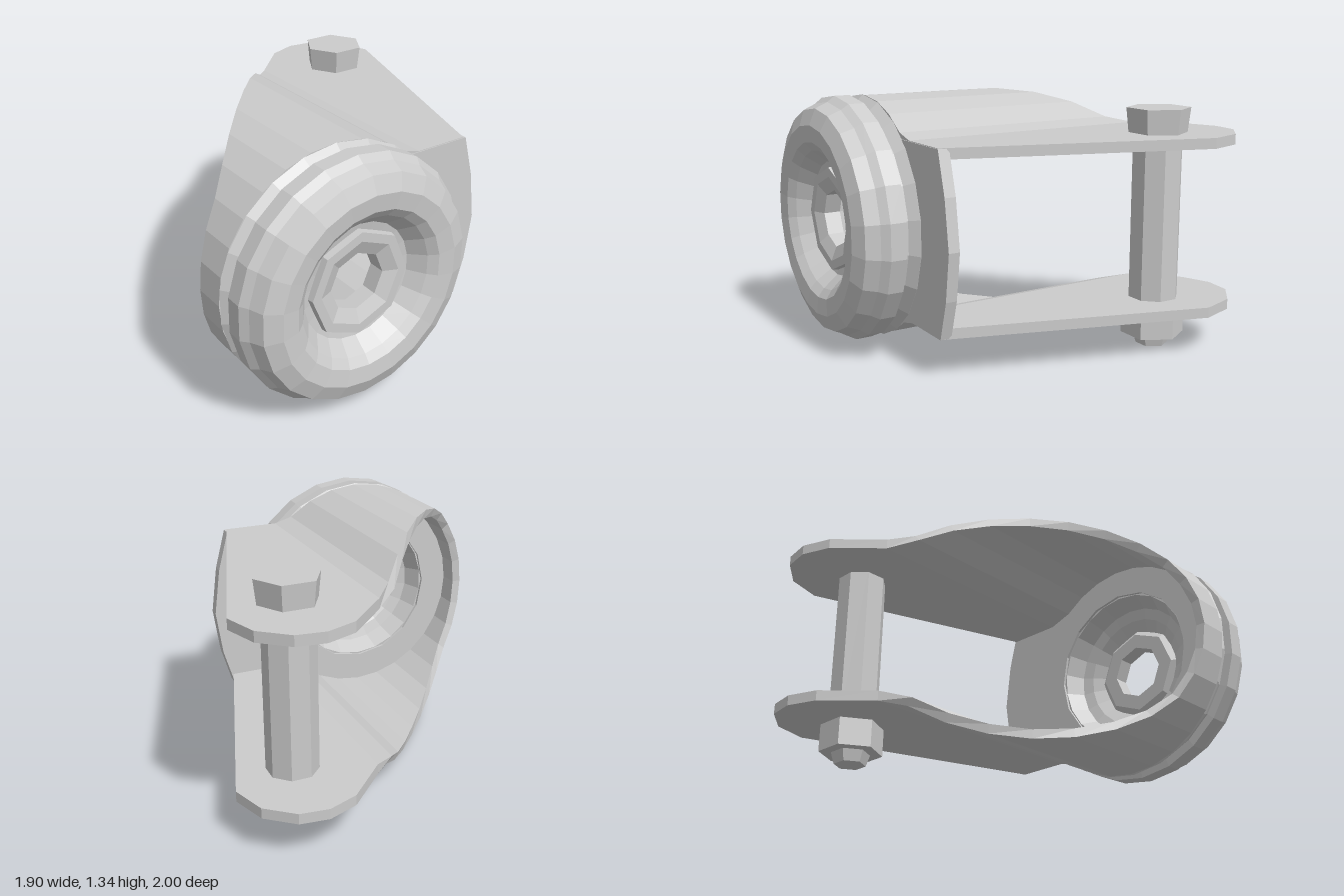
import * as THREE from 'three';

const CX = -0.3, CY = 0.685; // axis of the round mount (runs along z)
const PIN_X = 0.62, PIN_Z = -0.57;

const material = new THREE.MeshStandardMaterial({ color: 0xcccccc, flatShading: true });

function add(group, name, geometry, x = 0, y = 0, z = 0) {
  const mesh = new THREE.Mesh(geometry, material);
  mesh.name = name;
  mesh.position.set(x, y, z);
  group.add(mesh);
  return mesh;
}

// Linear interpolation through [x, z] pairs
function along(pairs, x) {
  if (x <= pairs[0][0]) return pairs[0][1];
  for (let i = 1; i < pairs.length; i++) {
    const [x0, z0] = pairs[i - 1], [x1, z1] = pairs[i];
    if (x <= x1) return z0 + (z1 - z0) * (x - x0) / (x1 - x0);
  }
  return pairs[pairs.length - 1][1];
}

// Plan outline of the bent sheet: slanted rear edge and front edge
const REAR = [[-0.95, 0.51], [-0.8, 0.43], [-0.68, 0.31], [-0.25, -0.17], [0.17, -0.67],
  [0.44, -0.94], [0.6, -1], [0.75, -0.98], [0.89, -0.86], [0.95, -0.67]];
const FRONT = [[0.52, 0.68], [0.53, 0.64], [0.95, -0.67]];

// U-shaped sheet: upper plate, round back, lower plate in one strip
function forkGeometry() {
  const plate = [0.95, 0.89, 0.75, 0.6, 0.53, 0.52, 0.44, 0.22];
  const stations = plate.map(x => [x, 1.155, x, 1.1]);
  const steps = 20;
  for (let i = 0; i <= steps; i++) {
    const a = THREE.MathUtils.degToRad(50 + 260 * i / steps);
    const c = Math.cos(a), s = Math.sin(a);
    stations.push([CX + 0.65 * c, CY + 0.65 * s, CX + 0.6 * c, CY + 0.6 * s]);
  }
  plate.reverse().forEach(x => stations.push([x, 0.212, x, 0.267]));

  const position = [], index = [];
  stations.forEach(([xo, yo, xi, yi], i) => {
    const back = along(REAR, xo), front = along(FRONT, xo);
    position.push(xo, yo, back, xo, yo, front, xi, yi, front, xi, yi, back);
    if (i === 0) return;
    for (let k = 0; k < 4; k++) {
      const n = (k + 1) % 4, a = (i - 1) * 4, b = i * 4;
      index.push(a + k, b + n, a + n, a + k, b + k, b + n);
    }
  });
  const geometry = new THREE.BufferGeometry();
  geometry.setAttribute('position', new THREE.Float32BufferAttribute(position, 3));
  geometry.setIndex(index);
  geometry.computeVertexNormals();
  return geometry;
}

// Front wall: disc behind the ring, widening into a web with a bowed free edge
function webGeometry() {
  const shape = new THREE.Shape();
  shape.moveTo(0.14, 0.215);
  shape.lineTo(0.53, 0.215);
  shape.lineTo(0.59, 0.42);
  shape.lineTo(0.625, 0.67);
  shape.lineTo(0.59, 0.93);
  shape.lineTo(0.53, 1.152);
  shape.lineTo(0.14, 1.152);
  for (let d = 50; d <= 310; d += 13) {
    const a = THREE.MathUtils.degToRad(d);
    shape.lineTo(CX + 0.63 * Math.cos(a), CY + 0.63 * Math.sin(a));
  }
  const hole = new THREE.Path();
  hole.absarc(CX, CY, 0.44, 0, Math.PI * 2, true);
  shape.holes.push(hole);
  return new THREE.ExtrudeGeometry(shape, { depth: 0.06, bevelEnabled: false, curveSegments: 8 });
}

// Closed [radius, z] profile turned around the mount axis
function turned(profile, sides) {
  const points = [...profile, profile[0]].map(([r, z]) => new THREE.Vector2(r, z));
  return new THREE.LatheGeometry(points, sides).rotateX(Math.PI / 2);
}

export function createModel() {
  const model = new THREE.Group();
  model.name = 'forkBracket';

  add(model, 'fork', forkGeometry());
  add(model, 'frontWeb', webGeometry(), 0, 0, 0.625);

  // Swivel mount: grooved dished ring and the pierced hub in its middle
  const mount = new THREE.Group();
  mount.name = 'swivelMount';
  mount.position.set(CX, CY, 0);
  model.add(mount);
  add(mount, 'ring', turned([
    [0.25, 0.81], [0.32, 0.76], [0.38, 0.74], [0.43, 0.64], [0.62, 0.655], [0.655, 0.69],
    [0.61, 0.735], [0.61, 0.76], [0.655, 0.765], [0.655, 0.85], [0.625, 0.89], [0.595, 0.96],
    [0.51, 0.995], [0.42, 0.985], [0.375, 0.95], [0.31, 0.87], [0.25, 0.86],
  ], 22));
  add(mount, 'hub', turned([
    [0.155, 0.78], [0.24, 0.78], [0.29, 0.82], [0.28, 0.9], [0.23, 0.9], [0.155, 0.87],
  ], 8));

  // Cross bolt through both plates
  const bolt = new THREE.Group();
  bolt.name = 'crossBolt';
  bolt.position.set(PIN_X, 0, PIN_Z);
  model.add(bolt);
  const prism = (name, top, bottom, y0, y1, sides, turn) =>
    add(bolt, name, new THREE.CylinderGeometry(top, bottom, y1 - y0, sides), 0, (y0 + y1) / 2, 0)
      .rotateY(turn);
  prism('shaft', 0.135, 0.135, 0.21, 1.16, 8, Math.PI / 8);
  prism('head', 0.17, 0.155, 1.15, 1.285, 6, Math.PI / 6);
  prism('nut', 0.17, 0.17, 0.062, 0.215, 6, Math.PI / 6);
  prism('tip', 0.105, 0.085, 0, 0.065, 6, Math.PI / 6);

  return model;
}
